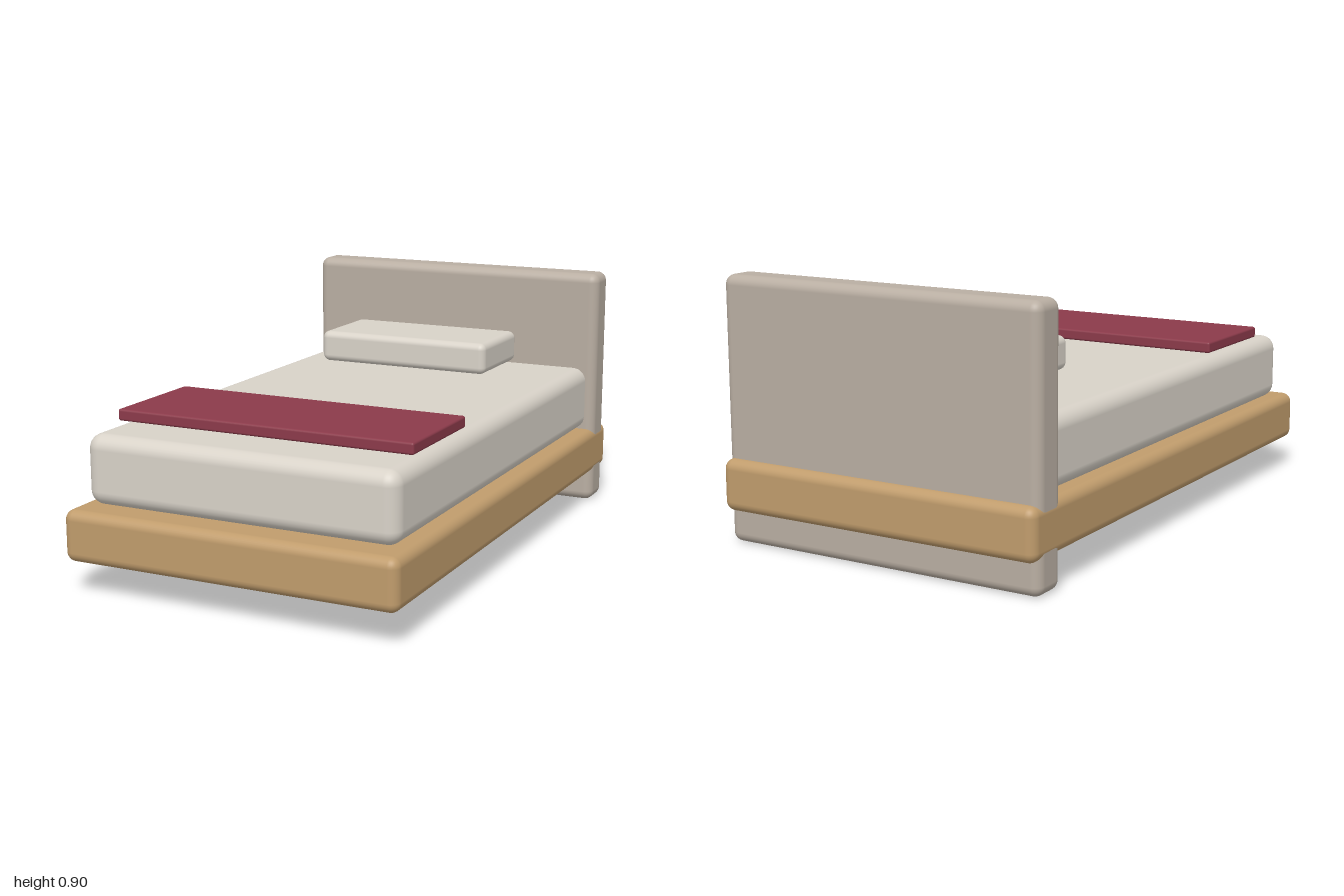
import * as THREE from 'three';
import { RoundedBoxGeometry } from 'three/addons/geometries/RoundedBoxGeometry.js';

// Soft-edged block given by its [min, max] extents in y and z, centred on x
function softBlock(name, color, width, [y0, y1], [z0, z1], radius) {
  const geometry = new RoundedBoxGeometry(width, y1 - y0, z1 - z0, 4, radius);
  const mesh = new THREE.Mesh(geometry, new THREE.MeshStandardMaterial({ color }));
  mesh.name = name;
  mesh.position.set(0, (y0 + y1) / 2, (z0 + z1) / 2);
  return mesh;
}

export function createModel() {
  const bed = new THREE.Group();
  bed.name = 'bed';

  const wood = 0xc09c6c;
  const upholstery = 0xb9aea2;
  const linen = 0xd8d2c8;
  const burgundy = 0x8b3a4a;

  bed.add(
    // Frame passes through the headboard, a hair wider so its sides stay on top
    softBlock('bedFrame', wood, 1.202, [0.113, 0.29], [-1, 1], 0.034),
    softBlock('headboard', upholstery, 1.2, [0, 0.9], [-0.967, -0.833], 0.034),
    softBlock('mattress', linen, 1.125, [0.29, 0.53], [-0.917, 0.917], 0.05),
    // Bedding
    softBlock('pillow', linen, 0.67, [0.575, 0.69], [-0.667, -0.333], 0.025),
    softBlock('throwBlanket', burgundy, 1.08, [0.543, 0.583], [0.333, 0.75], 0.008),
  );
  return bed;
}
